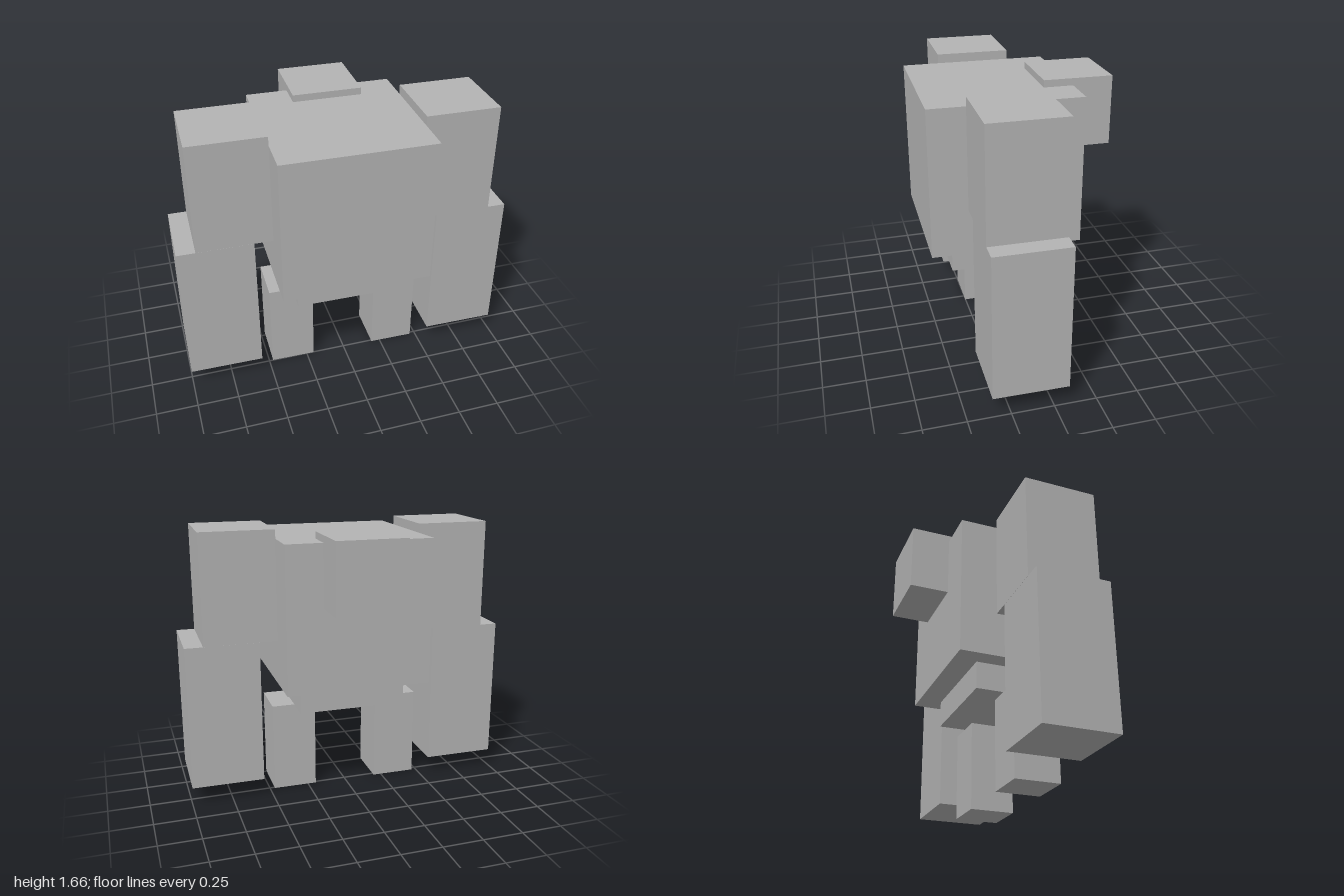
import * as THREE from 'three';

export function createModel() {
  const model = new THREE.Group();
  model.name = 'blockyRobot';
  const grey = new THREE.MeshStandardMaterial({ color: 0xb3b3b3 });
  grey.name = 'grey';

  // the whole figure is turned very slightly about the vertical
  const turn = -0.0145;

  // box from centre x, bottom, top, centre z, width and depth
  function block(name, x, y0, y1, z, w, d) {
    const mesh = new THREE.Mesh(new THREE.BoxGeometry(w, y1 - y0, d), grey);
    mesh.name = name;
    mesh.position.set(x, (y0 + y1) / 2, z);
    mesh.rotation.y = turn;
    model.add(mesh);
  }

  block('torso', -0.003, 0.724, 1.608, 0.115, 0.886, 0.886);
  block('hips', -0.002, 0.557, 0.724, 0.119, 0.661, 0.61);
  block('head', 0.016, 1.235, 1.65, -0.359, 0.416, 0.412);

  // arms and legs, with z following the slight turn
  for (const [side, s] of [['left', 1], ['right', -1]]) {
    block(side + 'UpperArm', s * 0.665 - 0.003, 1.0, 1.663, 0.119 + s * 0.01, 0.443, 0.443);
    block(side + 'LowerArm', s * 0.775 - 0.003, 0.115, 1.0, 0.119 + s * 0.011, 0.443, 0.443);
    block(side + 'Leg', s * 0.335 - 0.003, 0, 0.557, 0.119 + s * 0.006, 0.272, 0.275);
  }
  return model;
}
